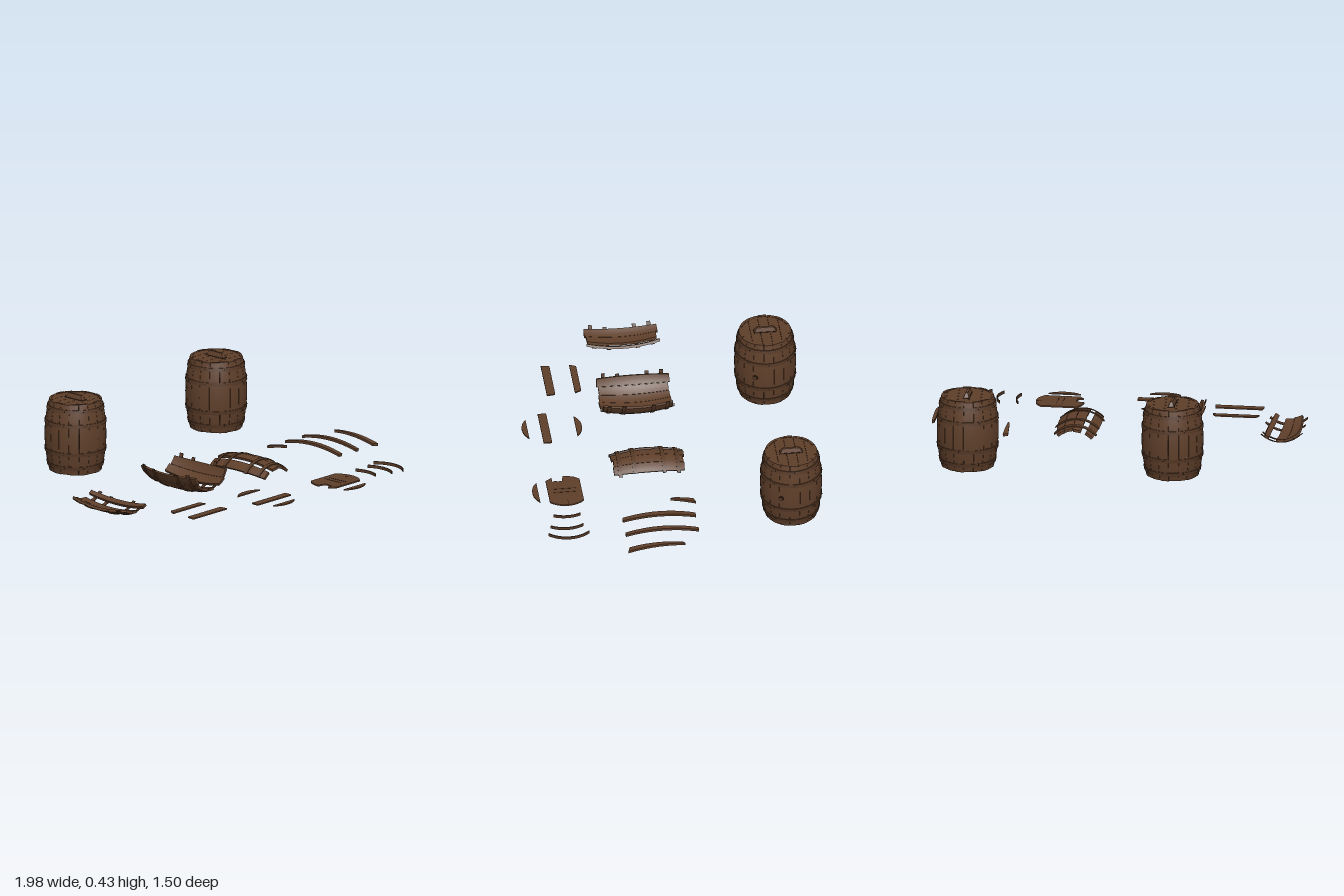
import * as THREE from 'three';

const mat = (name, color) => {
  const m = new THREE.MeshStandardMaterial({ color });
  m.name = name;
  return m;
};

const HALF = 0.194, END_R = 0.138, MID_R = 0.163, LID_R = 0.13;
const radiusAt = s => MID_R - (MID_R - END_R) * (s / HALF) ** 2;

// Curved slab of the barrel wall: angles a0..a1 about z, from s0 to s1 along z.
// taper narrows the slab: [scale at s0, scale at s1]; skew slants its ends.
function wall(a0, a1, s0, s1, { lift = 0, thick = 0.014, taper = [1, 1], skew = 0 } = {}) {
  const na = Math.max(2, Math.ceil((a1 - a0) / 0.15));
  const nz = Math.max(1, Math.ceil((s1 - s0) / 0.035));
  const g = new THREE.BoxGeometry(1, 1, 1, na, 1, nz), p = g.attributes.position;
  for (let i = 0; i < p.count; i++) {
    const u = p.getX(i), v = p.getY(i), w = p.getZ(i) + 0.5;
    const a = (a0 + a1) / 2 + u * (a1 - a0) * THREE.MathUtils.lerp(taper[0], taper[1], w);
    const s = THREE.MathUtils.lerp(s0, s1, w) + skew * u * (w - 0.5);
    const r = radiusAt(s) + lift + (v - 0.5) * thick;
    p.setXYZ(i, r * Math.sin(a), r * Math.cos(a), s);
  }
  g.computeVertexNormals();
  return g;
}

// Flat lid board: the disc around z = cz clipped to z0..z1, with an optional broken left edge
function board(z0, z1, cz, thick, left) {
  const right = [];
  for (let i = 0; i <= 10; i++) {
    const z = z0 + (z1 - z0) * i / 10;
    right.push([Math.sqrt(Math.max(0, LID_R ** 2 - (z - cz) ** 2)), z]);
  }
  const edge = left || right.map(([x, z]) => [-x, z]);
  const pts = [...right, ...edge.slice().reverse()].map(([x, z]) => new THREE.Vector2(x, -z));
  const g = new THREE.ExtrudeGeometry(new THREE.Shape(pts), { depth: thick, bevelEnabled: false });
  return g.rotateX(-Math.PI / 2);
}

// Lid grip with sloping sides and ends
function gripGeometry(h) {
  const g = new THREE.BoxGeometry(0.03, h, 0.12), p = g.attributes.position;
  for (let i = 0; i < p.count; i++)
    if (p.getY(i) > 0) { p.setX(i, p.getX(i) * 0.4); p.setZ(i, p.getZ(i) * 0.72); }
  g.computeVertexNormals();
  return g;
}

export function createModel() {
  const root = new THREE.Group();
  root.name = 'barrelsAndPieces';
  const wood = mat('brownWood', 0x5f3f2a);
  const hoopMat = mat('hoopBrown', 0x553825);
  const dark = mat('darkSeam', 0x2a1b12);

  const add = (parent, name, geo, m, x = 0, y = 0, z = 0) => {
    const mesh = new THREE.Mesh(geo, m);
    mesh.name = name;
    mesh.position.set(x, y, z);
    parent.add(mesh);
    return mesh;
  };
  const group = (name, x, y, z, parent = root) => {
    const g = new THREE.Group();
    g.name = name;
    g.position.set(x, y, z);
    parent.add(g);
    return g;
  };
  const HOOPS = [-0.155, -0.078, 0.078, 0.155];
  const hoop = (parent, s, a0, a1) =>
    add(parent, 'hoop', wall(a0, a1, s - 0.01, s + 0.01, { lift: 0.004, thick: 0.004 }), hoopMat);

  // Whole barrels
  for (const x of [-0.38, 0.71]) {
    const barrel = group('barrel', x, 0.216, -0.59);
    const body = group('barrelBody', 0, 0, 0, barrel);
    body.rotation.x = -Math.PI / 2;
    const n = 18, step = 2 * Math.PI / n;
    for (let i = 0; i < n; i++) {
      const trim = (i * 7 % 5) * 0.0008;
      add(body, 'stave', wall(i * step + 0.005, (i + 1) * step - 0.005, -HALF + trim, HALF - trim), wood);
    }
    for (const s of HOOPS) {
      hoop(body, s, 0, 2 * Math.PI);
      // nail heads
      for (let i = 0; i < 9; i++) {
        const a = i * step * 2 + 0.17;
        add(body, 'nail', wall(a - 0.012, a + 0.012, s - 0.002, s + 0.002, { lift: 0.006, thick: 0.003 }), dark);
      }
    }
    // lids at both ends, made of five boards over a dark backing
    for (const end of [1, -1]) {
      add(barrel, 'lidBacking', new THREE.CylinderGeometry(0.126, 0.126, 0.008, 36), dark, 0, end * 0.181, 0);
      for (let i = 0; i < 5; i++) {
        const z0 = -LID_R + i * 0.052;
        add(barrel, 'lidBoard', board(z0 + 0.0006, z0 + 0.0514, 0, 0.008), wood, 0, end * 0.186 - 0.004, 0);
      }
    }
    add(barrel, 'lidGripBase', new THREE.BoxGeometry(0.034, 0.003, 0.124), dark, 0, 0.191, 0);
    add(barrel, 'lidGrip', gripGeometry(0.024), wood, 0, 0.203, 0);
    // bung on the side
    const bung = group('bung', 0.147, -0.004, 0.07, barrel);
    bung.rotation.set(0, -Math.atan2(0.07, 0.147), -Math.PI / 2, 'YXZ');
    add(bung, 'bungRing', new THREE.CylinderGeometry(0.014, 0.014, 0.008, 16), dark);
    add(bung, 'bungPlug', new THREE.CylinderGeometry(0.01, 0.011, 0.018, 16), wood);
  }

  // Broken wall sections: runs of staves (start and end angle) held by torn hoops
  const sections = [
    { x: -0.875, y: 0.195, bowl: true, runs: [[-0.58, 0.15], [0.43, 0.63]], reach: 0.76 },
    { x: -0.29, y: 0.195, bowl: true, runs: [[-1.22, 0.17], [0.45, 1.22]], reach: 1.36 },
    { x: 0.215, y: -0.06, bowl: false, runs: [[-0.8, -0.45], [-0.27, 0.75]], reach: 0.85 },
  ];
  for (const { x, y, bowl, runs, reach } of sections) {
    const sec = group('brokenSection', x, y, 0.11);
    const flip = bowl ? -1 : 1;
    if (bowl) sec.rotation.z = Math.PI;
    for (const [b0, b1] of runs) {
      const n = Math.max(1, Math.round((b1 - b0) / 0.33)), step = (b1 - b0) / n;
      for (let i = 0; i < n; i++) {
        const c = flip * (b0 + (i + 0.5) * step), h = step / 2 - 0.005;
        const trim = (i * 3 % 4) * 0.003;
        add(sec, 'stave', wall(c - h, c + h, -HALF + trim, HALF - trim, { skew: i % 2 ? 0.006 : -0.005 }), wood);
      }
    }
    HOOPS.forEach((s, i) => hoop(sec, s, -reach + (i % 2) * 0.05, reach - (i % 3) * 0.04));
  }

  // Loose staves, two of them snapped
  const loose = [
    [0.71, -HALF, HALF, 0.095, [1, 1]],
    [0.84, -HALF, HALF, 0.08, [1, 1]],
    [0.98, -0.1, HALF, 0.115, [0.35, 1]],
    [0.58, -0.205, -0.08, 0.105, [1, 0.3]],
  ];
  for (const [x, s0, s1, half, taper] of loose)
    add(root, 'looseStave', wall(-half, half, s0, s1, { taper, skew: taper[0] === taper[1] ? 0 : 0.02 }),
      wood, x, -0.092, 0.11);

  // Loose lid boards: centre x, z0, z1, disc centre z, base height
  const boards = [
    [-0.575, 0.375, 0.41, 0.45, 0.037],
    [-0.575, 0.515, 0.56, 0.555, 0.037],
    [-0.153, 0.412, 0.445, 0.541, 0.037],
    [-0.153, 0.585, 0.63, 0.607, 0.037],
    [-0.157, 0.7, 0.73, 0.6, 0.037],
    [0.38, 0.71, 0.742, 0.612, 0.013],
  ];
  for (const [x, z0, z1, cz, y] of boards)
    add(root, 'looseLidBoard', board(z0, z1, cz, 0.007), wood, x, y, 0);

  // Broken lid with its grip underneath
  const lid = group('brokenLid', 0.383, 0, 0);
  const torn = [[-0.094, 0.48], [-0.113, 0.505], [-0.126, 0.54], [-0.128, 0.565], [-0.085, 0.575],
    [-0.083, 0.595], [-0.09, 0.61], [-0.082, 0.625], [-0.118, 0.627], [-0.094, 0.66]];
  add(lid, 'lidPlate', board(0.48, 0.66, 0.57, 0.008, torn), wood, 0, 0.015, 0);
  add(lid, 'lidGrip', gripGeometry(0.016).rotateX(Math.PI), wood, 0, 0.008, 0.57);
  for (const side of [-1, 1])
    add(lid, 'gripSeam', new THREE.BoxGeometry(0.002, 0.002, 0.12), dark, side * 0.015, 0.0232, 0.57);
  add(lid, 'lidCrack', new THREE.BoxGeometry(0.04, 0.001, 0.003), dark, 0.105, 0.0232, 0.565);

  // Torn hoop pieces lying flat: arc centre x, centre z, radius, half angle
  for (const [x, z, r, half] of [[0.455, 0.585, 0.165, 0.45], [0.56, 0.597, 0.165, 0.56], [0.65, 0.595, 0.16, 0.75]]) {
    const g = new THREE.CylinderGeometry(r, r, 0.016, 14, 1, true, Math.PI / 2 - half, 2 * half);
    const inner = new THREE.CylinderGeometry(r - 0.006, r - 0.006, 0.016, 14, 1, true, Math.PI / 2 - half, 2 * half);
    inner.scale(1, 1, 1);
    const arc = new THREE.Shape();
    arc.absarc(0, 0, r, -half, half, false);
    arc.absarc(0, 0, r - 0.005, half, -half, true);
    g.dispose();
    inner.dispose();
    const strip = new THREE.ExtrudeGeometry(arc, { depth: 0.016, bevelEnabled: false, curveSegments: 14 });
    add(root, 'tornHoop', strip.rotateX(-Math.PI / 2), hoopMat, x, 0.014, z);
  }
  return root;
}
